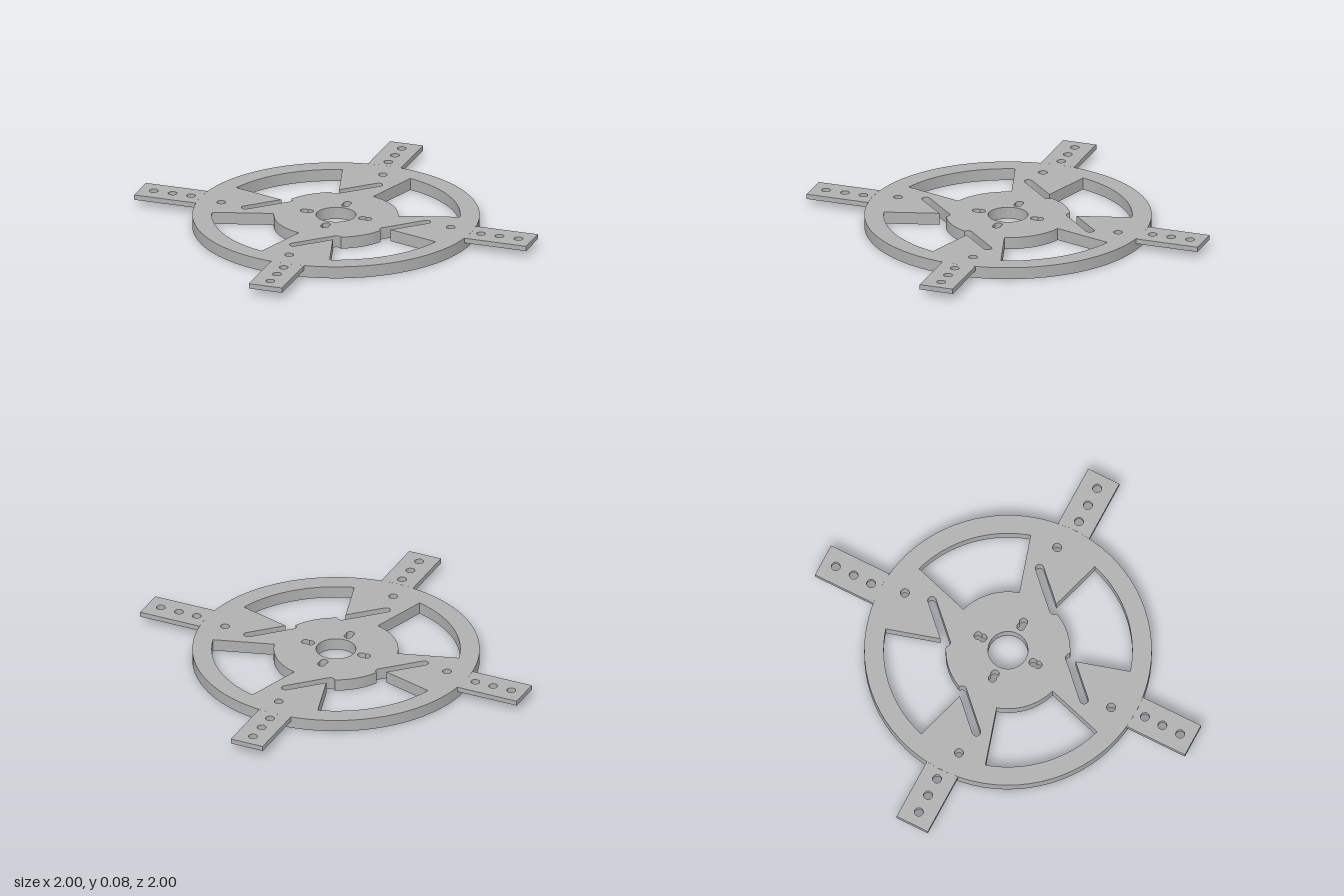
import * as THREE from 'three';
import { toCreasedNormals } from 'three/addons/utils/BufferGeometryUtils.js';

const TOP = 0.077, ARM_BOTTOM = 0.045;
const RIM = 0.9, WINDOW = 0.778, HUB = 0.39;
const ARM_HALF = 0.11, ARM_END = 1.304;
const rad = THREE.MathUtils.degToRad;

// Extrude a plan shape and lay it flat between two heights
function plate(shape, bottom, top, material, name) {
  const geo = new THREE.ExtrudeGeometry(shape, { depth: top - bottom, bevelEnabled: false, curveSegments: 40 });
  geo.rotateX(-Math.PI / 2);
  geo.translate(0, bottom, 0);
  const mesh = new THREE.Mesh(toCreasedNormals(geo, 0.5), material);
  mesh.name = name;
  return mesh;
}

function circle(x, y, r) {
  return new THREE.Path().absarc(x, y, r, 0, Math.PI * 2, false);
}

// Plain side window between two radial spokes
function sideWindow(turn) {
  const a = rad(28.1), p = new THREE.Path();
  p.absarc(0, 0, WINDOW, turn - a, turn + a, false);
  p.absarc(0, 0, HUB, turn + a, turn - a, true);
  p.closePath();
  return p;
}

// Window that opens into two strap slots beside the hub; s = 1 or -1 picks the end
function slottedWindow(s) {
  const a = rad(61.9), h = Math.asin(0.365 / HUB), slotY = 0.3535, r = 0.0265;
  const pts = [];
  const arc = (x, y, radius, from, to, n) => {
    for (let i = 0; i <= n; i++) {
      const t = from + (to - from) * i / n;
      pts.push(new THREE.Vector2(x + radius * Math.cos(t), y + radius * Math.sin(t)));
    }
  };
  const point = (x, y) => pts.push(new THREE.Vector2(x, y));
  arc(0, 0, WINDOW, a, Math.PI - a, 40);
  point(-0.2, slotY + r);
  arc(-0.46, slotY, r, Math.PI / 2, Math.PI * 1.5, 14);
  arc(-0.165, slotY, r, -Math.PI / 2, 0.25, 8);
  arc(0, 0, HUB, Math.PI - h, h, 20);
  arc(0.165, slotY, r, Math.PI - 0.25, Math.PI * 1.5, 8);
  arc(0.46, slotY, r, -Math.PI / 2, Math.PI / 2, 14);
  point(0.2, slotY + r);
  return new THREE.Path(pts.map(p => p.multiplyScalar(s)));
}

// Motor screw hole made of two overlapping circles along a diagonal
function doubleHole(turn) {
  const r = 0.026, d = 0.0165, centre = 0.194, w = Math.acos(d / r);
  const at = k => [Math.cos(turn) * (centre + k), Math.sin(turn) * (centre + k)];
  const p = new THREE.Path();
  p.absarc(...at(d), r, turn - Math.PI + w, turn + Math.PI - w, false);
  p.absarc(...at(-d), r, turn + w, turn + Math.PI * 2 - w, false);
  return p;
}

export function createModel() {
  const group = new THREE.Group();
  group.name = 'wheelFrame';
  const grey = new THREE.MeshStandardMaterial({ color: 0xb0b0b0 });
  grey.name = 'grey';

  // Rim, spokes and hub cut from one disc
  const wheel = new THREE.Shape().absarc(0, 0, RIM, 0, Math.PI * 2, false);
  wheel.holes.push(circle(0, 0, 0.125), sideWindow(0), sideWindow(Math.PI), slottedWindow(1), slottedWindow(-1));
  for (const sx of [-1, 1]) for (const sy of [-1, 1]) {
    wheel.holes.push(circle(sx * 0.559, sy * 0.5, 0.028), doubleHole(Math.atan2(sy, sx)));
  }
  group.add(plate(wheel, 0, TOP, grey, 'wheel'));

  // Thinner diagonal arms outside the rim
  const half = Math.asin(ARM_HALF / RIM);
  for (let i = 0; i < 4; i++) {
    const arm = new THREE.Shape();
    arm.absarc(0, 0, RIM, half, -half, true);
    arm.lineTo(ARM_END, -ARM_HALF);
    arm.lineTo(ARM_END, ARM_HALF);
    arm.closePath();
    for (const d of [0.965, 1.088, 1.214]) arm.holes.push(circle(d, 0, 0.028));
    const mesh = plate(arm, ARM_BOTTOM, TOP, grey, 'arm' + (i + 1));
    mesh.rotation.y = Math.PI / 4 + i * Math.PI / 2;
    group.add(mesh);
  }
  return group;
}
